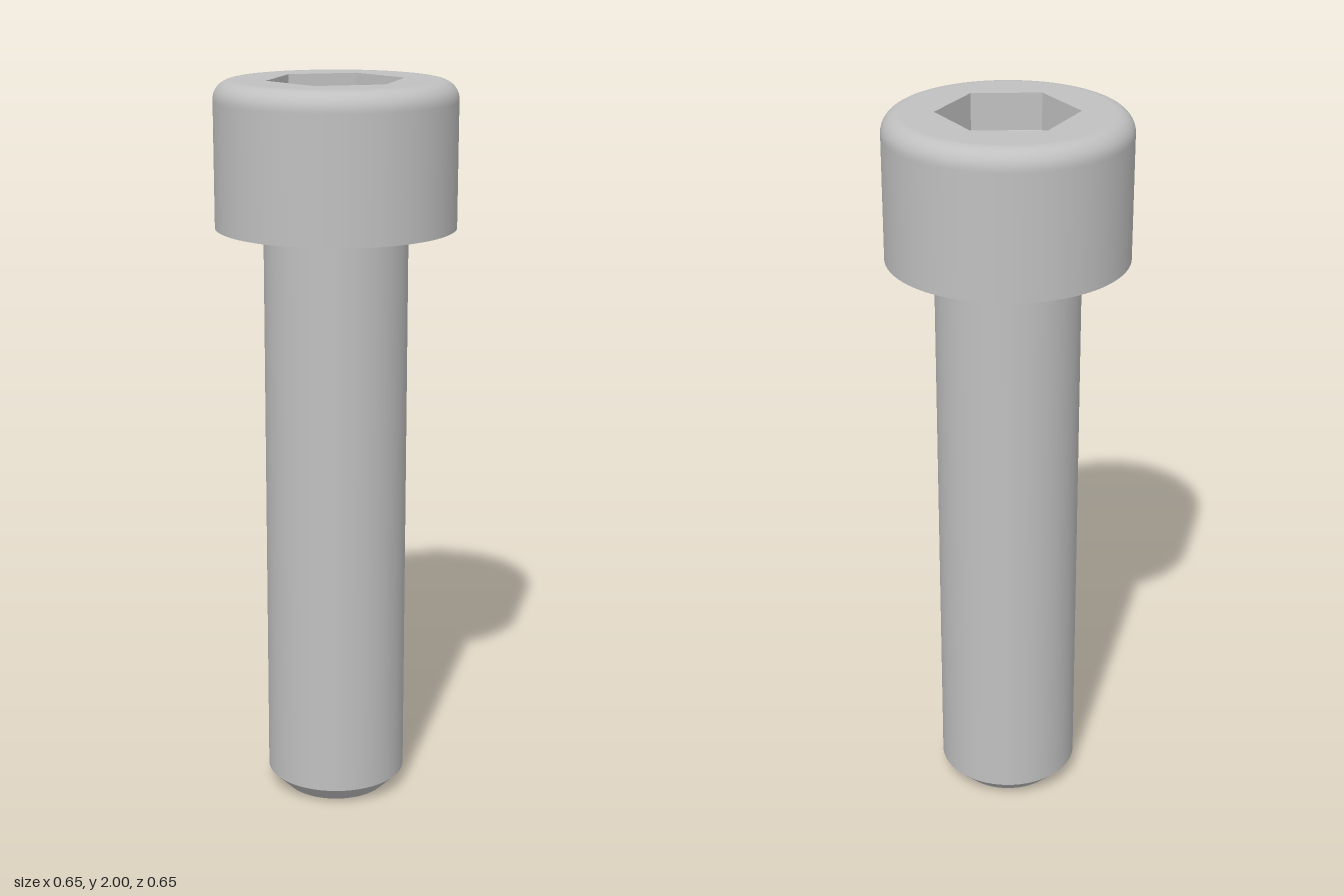
import * as THREE from 'three';

const SHAFT_R = 0.1935, SHAFT_TIP_R = 0.145, CHAMFER = 0.0484;
const HEAD_R = 0.3226, HEAD_Y = 1.613, FILLET = 0.05, TOP = 2;
const HEX_R = 0.1862, SOCKET_WALL = 0.1, SOCKET_DEPTH = 0.1935;

export function createModel() {
  const steel = new THREE.MeshStandardMaterial({ color: 0xc0c0c0 });
  steel.name = 'steel grey';
  const group = new THREE.Group();
  group.name = 'socketHeadScrew';

  const add = (name, geometry) => {
    const mesh = new THREE.Mesh(geometry, steel);
    mesh.name = name;
    group.add(mesh);
  };
  // Each profile is smooth along its length; separate profiles meet in sharp edges
  const turn = (points, sides = 96) =>
    new THREE.LatheGeometry(points.map(([r, y]) => new THREE.Vector2(r, y)), sides);

  // Shaft with chamfered tip
  add('tipFace', turn([[0, 0], [SHAFT_TIP_R, 0]]));
  add('tipChamfer', turn([[SHAFT_TIP_R, 0], [SHAFT_R, CHAMFER]]));
  add('shaft', turn([[SHAFT_R, CHAMFER], [SHAFT_R, HEAD_Y]]));

  // Head: bearing face, then the wall running into the rounded rim
  add('bearingFace', turn([[SHAFT_R, HEAD_Y], [HEAD_R, HEAD_Y]]));
  const rim = [[HEAD_R, HEAD_Y], [HEAD_R, TOP - FILLET - 0.005]];
  for (let i = 0; i <= 10; i++) {
    const a = (i / 10) * Math.PI / 2;
    rim.push([HEAD_R - FILLET + FILLET * Math.cos(a), TOP - FILLET + FILLET * Math.sin(a)]);
  }
  add('headWall', turn(rim));

  // Flat top ring with the hexagonal opening
  const ring = new THREE.Shape().absarc(0, 0, HEAD_R - FILLET, 0, Math.PI * 2);
  const corners = [];
  for (let i = 0; i < 6; i++) {
    const a = -i * Math.PI / 3;
    corners.push(new THREE.Vector2(HEX_R * Math.sin(a), HEX_R * Math.cos(a)));
  }
  ring.holes.push(new THREE.Path(corners));
  add('headTop', new THREE.ShapeGeometry(ring, 96).rotateX(-Math.PI / 2).translate(0, TOP, 0));

  // Hexagonal socket: flat inward walls and a pointed floor
  const walls = turn([[HEX_R, TOP], [HEX_R, TOP - SOCKET_WALL]], 6).toNonIndexed();
  walls.computeVertexNormals();
  add('socketWalls', walls);
  add('socketFloor', turn([[HEX_R, TOP - SOCKET_WALL], [0, TOP - SOCKET_DEPTH]], 6));

  return group;
}
